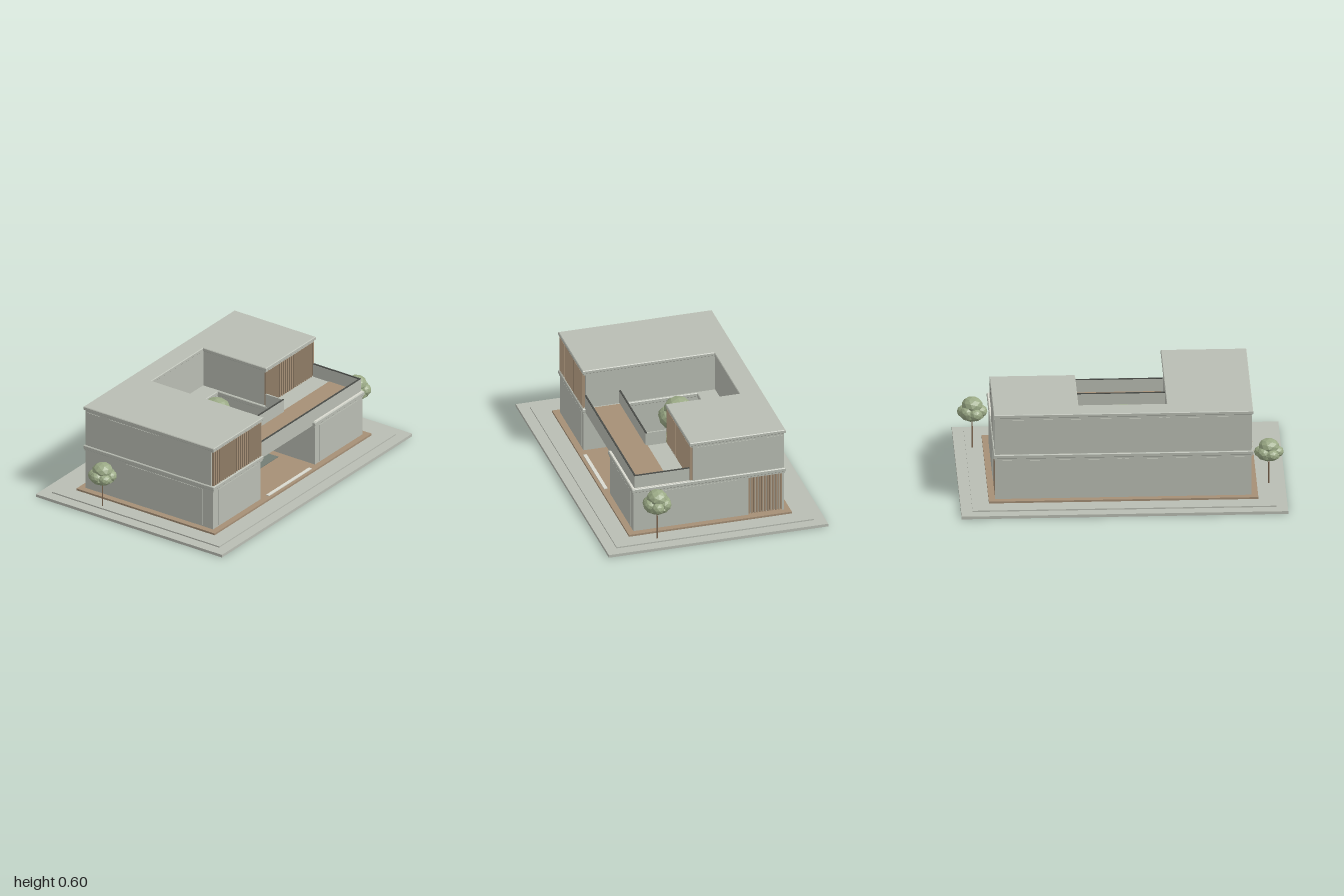
import * as THREE from 'three';

const mat = (name, color) => {
  const m = new THREE.MeshStandardMaterial({ color });
  m.name = name;
  return m;
};

export function createModel() {
  const root = new THREE.Group();
  root.name = 'courtyardHouse';
  const concrete = mat('concrete', 0xb9bdb3);
  const wood = mat('wood', 0xa58f76);
  const pale = mat('paleStone', 0xd9dad0);
  const paving = mat('darkPaving', 0x737d75);
  const leaf = mat('leaf', 0x9aa985);
  const bark = mat('bark', 0x7d6650);
  const dark = mat('darkMetal', 0x4a4c48);

  const add = (name, geo, m, parent = root) => {
    const mesh = new THREE.Mesh(geo, m);
    mesh.name = name;
    parent.add(mesh);
    return mesh;
  };
  // box from its minimum and maximum corners
  const box = (name, m, x0, x1, y0, y1, z0, z1, parent = root) => {
    const b = add(name, new THREE.BoxGeometry(x1 - x0, y1 - y0, z1 - z0), m, parent);
    b.position.set((x0 + x1) / 2, (y0 + y1) / 2, (z0 + z1) / 2);
    return b;
  };
  // horizontal slab from an [x, z] outline, with a small bevel
  const slab = (name, m, pts, y0, y1, bevel = 0.004) => {
    const shape = new THREE.Shape(pts.map(([x, z]) => new THREE.Vector2(x, -z)));
    const geo = new THREE.ExtrudeGeometry(shape, {
      depth: y1 - y0 - 2 * bevel, bevelEnabled: bevel > 0, bevelThickness: bevel,
      bevelSize: bevel, bevelOffset: -bevel, bevelSegments: 1,
    });
    geo.rotateX(-Math.PI / 2).translate(0, y0 + bevel, 0);
    return add(name, geo, m);
  };
  // U-shaped outline: half width, back, courtyard half width and back, front of each wing
  const uShape = (w, b, cw, cb, leftZ, rightZ) => [
    [-w, leftZ], [-cw, leftZ], [-cw, cb], [cw, cb], [cw, rightZ], [w, rightZ], [w, b], [-w, b],
  ];

  // site
  box('sitePlate', concrete, -1, 1, 0, 0.018, -0.7, 0.7);
  box('siteTerrace', concrete, -0.93, 0.93, 0.018, 0.026, -0.63, 0.63);
  box('woodPlinth', wood, -0.825, 0.825, 0.026, 0.038, -0.52, 0.52);
  box('courtyardFloor', paving, -0.24, 0.235, 0.038, 0.042, -0.24, 0.24);
  box('entryStep', pale, -0.225, 0.225, 0.038, 0.043, 0.478, 0.5);
  for (let i = 0; i < 5; i++) {
    const z = -0.206 + i * 0.082;
    box('steppingStone', pale, 0.15, 0.22, 0.042, 0.047, z, z + 0.045);
  }

  // ground floor; the right wing is recessed behind its side screen
  slab('groundFloor', concrete, [
    [-0.785, 0.48], [-0.285, 0.48], [-0.285, -0.25], [0.285, -0.25], [0.285, 0.48], [0.785, 0.48],
    [0.785, -0.255], [0.765, -0.255], [0.765, -0.47], [0.785, -0.47], [0.785, -0.48], [-0.785, -0.48],
  ], 0.038, 0.305, 0);
  slab('floorNeck', concrete, uShape(0.79, -0.485, 0.275, -0.245, 0.485, 0.485), 0.297, 0.307, 0);
  slab('floorSlab', concrete, uShape(0.795, -0.49, 0.27, -0.24, 0.49, 0.49), 0.306, 0.332);

  // upper floor and roof
  slab('upperFloor', concrete, uShape(0.785, -0.48, 0.285, -0.36, 0.465, 0.1), 0.33, 0.575, 0);
  slab('roofNeck', concrete, uShape(0.785, -0.48, 0.278, -0.355, 0.482, 0.115), 0.564, 0.577, 0);
  slab('roofSlab', concrete, uShape(0.795, -0.49, 0.27, -0.35, 0.49, 0.122), 0.575, 0.598);

  // terrace bridging the entry, with its parapets
  box('terraceBridge', concrete, -0.285, 0.285, 0.308, 0.33, 0.24, 0.472);
  box('terraceDeck', wood, -0.27, 0.77, 0.33, 0.336, 0.24, 0.462);
  box('ledgeFront', pale, 0.285, 0.79, 0.331, 0.334, 0.472, 0.486);
  box('ledgeSide', pale, 0.78, 0.79, 0.331, 0.334, 0.122, 0.486);
  const parapet = (x0, x1, z0, z1) => {
    box('parapet', concrete, x0, x1, 0.33, 0.417, z0, z1);
    box('parapetCap', dark, x0, x1, 0.417, 0.421, z0, z1);
  };
  box('bridgeFascia', concrete, -0.285, 0.285, 0.31, 0.332, 0.462, 0.472);
  parapet(-0.285, 0.78, 0.462, 0.472);
  parapet(0.77, 0.78, 0.12, 0.462);
  parapet(-0.285, 0.28, 0.242, 0.252);
  box('returnParapet', concrete, 0.27, 0.28, 0.33, 0.42, 0.12, 0.242);

  // timber screens
  const screen = (name, n, from, to, y0, y1, place) => {
    const g = new THREE.Group();
    g.name = name;
    root.add(g);
    for (let i = 0; i < n; i++) {
      const c = from + ((to - from) * i) / (n - 1);
      place(c - 0.005, c + 0.005, y0, y1, g);
    }
  };
  const frontSlat = (z) => (a, b, y0, y1, g) => box('slat', wood, a, b, y0, y1, z - 0.016, z, g);
  screen('rightWingScreen', 25, -0.778, -0.29, 0.335, 0.567, frontSlat(0.485));
  screen('leftWingScreen', 25, 0.288, 0.778, 0.335, 0.567, frontSlat(0.118));
  screen('sideScreen', 13, -0.26, -0.465, 0.045, 0.3, (a, b, y0, y1, g) =>
    box('slat', wood, 0.77, 0.786, y0, y1, a, b, g));

  // thin flush window panels
  const sidePanel = (s, z0, z1, y0, y1) =>
    box('sidePanel', concrete, s * 0.7865 - 0.0015, s * 0.7865 + 0.0015, y0, y1, z0, z1);
  for (const s of [-1, 1]) {
    sidePanel(s, -0.3, 0.07, 0.34, 0.56);
    sidePanel(s, -0.47, -0.37, 0.34, 0.56);
    sidePanel(s, -0.18, 0.4, 0.045, 0.292);
    box('frontPanel', concrete, s * 0.53 - 0.2, s * 0.53 + 0.2, 0.045, 0.292, 0.479, 0.483);
  }
  for (let i = 0; i < 6; i++) {
    const x = -0.74 + i * 0.25;
    box('backPanel', concrete, x, x + 0.23, 0.045, 0.292, -0.483, -0.479);
    box('backPanel', concrete, x, x + 0.23, 0.34, 0.56, -0.483, -0.479);
  }

  // trees: faceted crowns of a broad lower tier, a ring of lobes and a dome
  const tree = (x, z, r, y0, y1, base) => {
    const g = new THREE.Group();
    g.name = 'tree';
    g.position.set(x, 0, z);
    root.add(g);
    const h = y1 - y0;
    const trunk = add('trunk', new THREE.CylinderGeometry(0.004, 0.005, y0 + h * 0.4 - base, 6), bark, g);
    trunk.position.y = (y0 + h * 0.4 + base) / 2;
    const blob = (name, rad, half, px, py, pz, turn) => {
      const geo = new THREE.IcosahedronGeometry(1, 1);
      geo.computeVertexNormals();
      const b = add(name, geo, leaf, g);
      b.scale.set(rad, half, rad);
      b.position.set(px, py, pz);
      b.rotation.y = turn;
    };
    blob('lowerCrown', r * 0.88, h * 0.3, 0, y0 + h * 0.3, 0, 0.3);
    for (let i = 0; i < 6; i++) {
      const a = (i * Math.PI) / 3 + 0.2;
      blob('crownLobe', r * 0.45, h * 0.26, Math.cos(a) * r * 0.55, y0 + h * (0.36 + 0.06 * (i % 2)), Math.sin(a) * r * 0.55, i);
    }
    blob('upperCrown', r * 0.7, h * 0.35, 0, y0 + h * 0.65, 0, 1);
  };
  tree(-0.02, -0.045, 0.13, 0.255, 0.462, 0.04);
  tree(0.095, 0.095, 0.072, 0.19, 0.31, 0.04);
  tree(-0.9, -0.27, 0.092, 0.18, 0.318, 0.024);
  tree(0.89, 0.36, 0.094, 0.207, 0.36, 0.024);
  return root;
}
